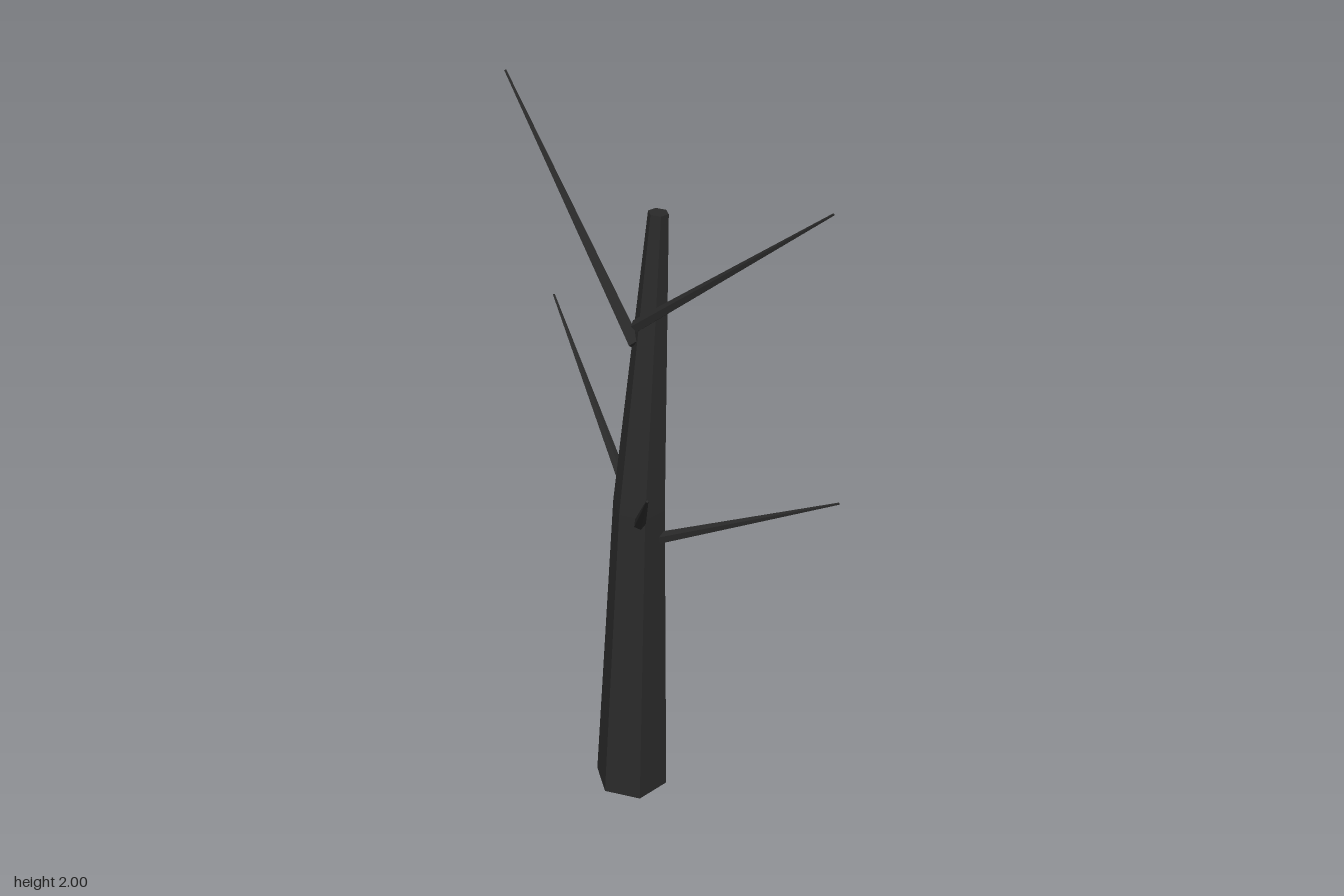
import * as THREE from 'three';

const bark = new THREE.MeshStandardMaterial({ color: 0x2a2a2a });
bark.name = 'charredBark';
bark.flatShading = true;

// Tapered straight limb between two points
function limb(name, from, to, r0, r1, sides) {
  const a = new THREE.Vector3(...from);
  const d = new THREE.Vector3(...to).sub(a);
  const geo = new THREE.CylinderGeometry(r1, r0, d.length(), sides);
  geo.translate(0, d.length() / 2, 0);
  const mesh = new THREE.Mesh(geo, bark);
  mesh.name = name;
  mesh.position.copy(a);
  mesh.quaternion.setFromUnitVectors(new THREE.Vector3(0, 1, 0), d.normalize());
  return mesh;
}

// Hexagonal trunk with one bend; each ring has a centre, radius and sideways tilt
function trunk() {
  const rings = [
    { c: [-0.145, 0.004, 0.002], r: 0.107, tilt: -0.04 },
    { c: [-0.112, 0.96, 0.003], r: 0.073, tilt: -0.06 },
    { c: [-0.045, 1.803, -0.03], r: 0.027, tilt: -0.08 },
  ];
  const geo = new THREE.CylinderGeometry(1, 1, 2, 6, 2);
  const p = geo.attributes.position;
  for (let i = 0; i < p.count; i++) {
    const { c, r, tilt } = rings[Math.round(p.getY(i)) + 1];
    const x = p.getX(i) * r;
    p.setXYZ(i, c[0] + x, c[1] + x * tilt, c[2] + p.getZ(i) * r);
  }
  geo.computeVertexNormals();
  const mesh = new THREE.Mesh(geo, bark);
  mesh.name = 'trunk';
  return mesh;
}

export function createModel() {
  const group = new THREE.Group();
  group.name = 'bareTree';
  group.add(trunk());

  // Bare pointed branches: base, tip
  const branches = {
    lowerLeftBranch: [[-0.06, 0.87, 0.04], [0.322, 1.142, 0.389]],
    lowerFrontBranch: [[-0.123, 0.935, 0.055], [-0.228, 1.372, 0.602]],
    lowerBackBranch: [[-0.12, 0.93, -0.05], [-0.216, 1.312, -0.602]],
    upperBackBranch: [[-0.115, 1.45, -0.01], [-0.326, 1.998, -0.582]],
    upperFrontBranch: [[-0.113, 1.508, 0.002], [0.242, 1.988, 0.47]],
  };
  for (const [name, [from, to]] of Object.entries(branches))
    group.add(limb(name, from, to, 0.017, 0.003, 5));

  return group;
}
